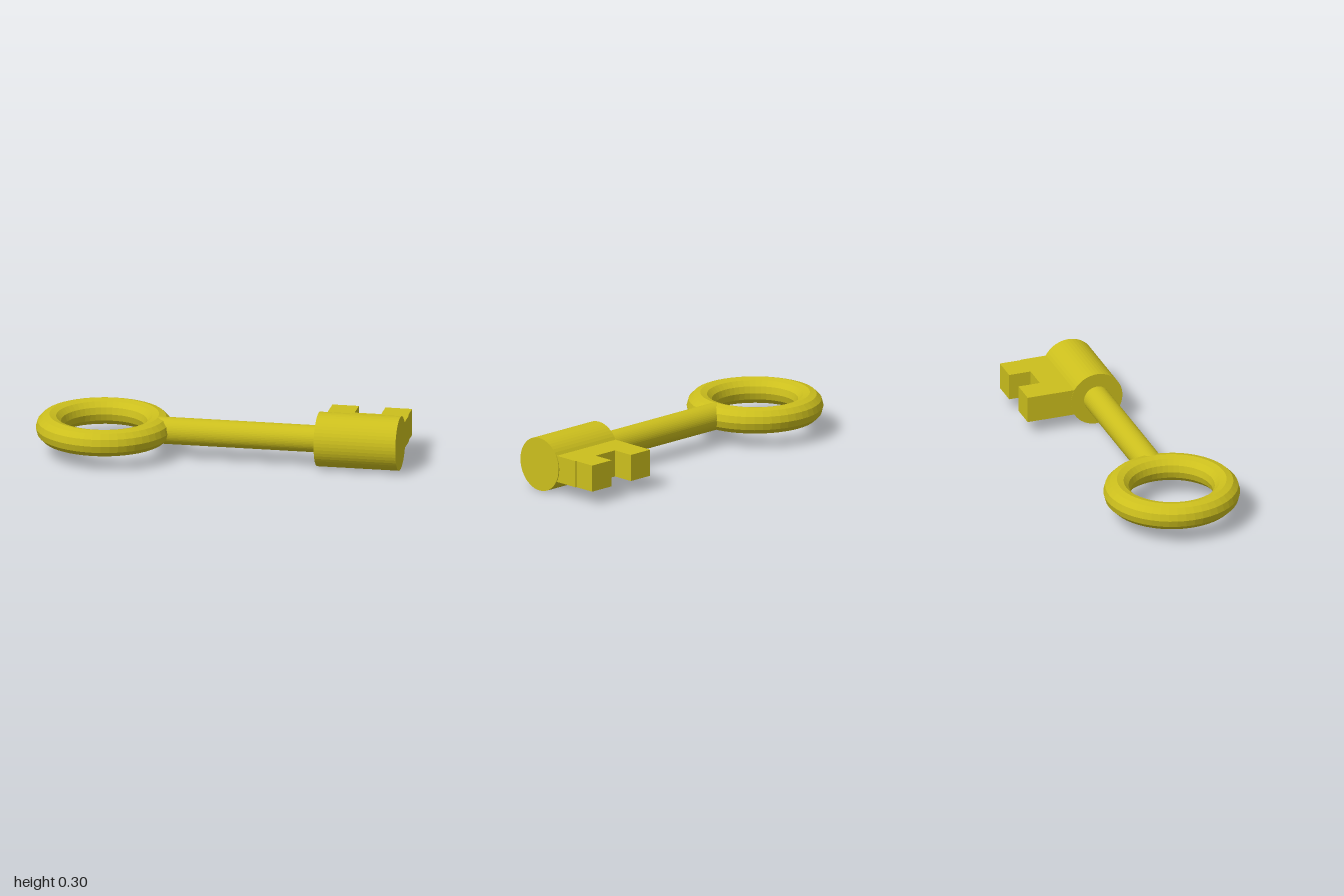
import * as THREE from 'three';

export function createModel() {
  const key = new THREE.Group();
  key.name = 'key';
  const material = new THREE.MeshStandardMaterial({ color: 0xccbf1d, flatShading: true });
  const axisY = 0.15, axisZ = 0.012;

  function add(name, geometry, x, y = axisY, z = axisZ) {
    const mesh = new THREE.Mesh(geometry, material);
    mesh.name = name;
    mesh.position.set(x, y, z);
    key.add(mesh);
  }

  // Round bar along x between two ends
  function addBar(name, radius, x0, x1) {
    const geometry = new THREE.CylinderGeometry(radius, radius, x1 - x0, 48);
    geometry.rotateZ(-Math.PI / 2);
    add(name, geometry, (x0 + x1) / 2);
  }

  // Finger ring lying flat
  const ring = new THREE.TorusGeometry(0.297, 0.0735, 12, 48);
  ring.rotateX(Math.PI / 2);
  add('ringHandle', ring, -0.63);

  // Shaft starts inside the ring, collar caps the far end
  addBar('shaft', 0.0735, -0.333, 0.56);
  addBar('collar', 0.148, 0.55, 1);

  // Bit: a plate reaching back from the collar, with two teeth around a notch
  const outline = [
    [0.551, 0], [0.995, 0], [0.995, 0.262], [0.99, 0.262], [0.99, 0.385],
    [0.843, 0.385], [0.843, 0.262], [0.697, 0.262], [0.697, 0.385], [0.551, 0.385],
  ].map(([x, back]) => new THREE.Vector2(x, back));
  const bit = new THREE.ExtrudeGeometry(new THREE.Shape(outline), { depth: 0.147, bevelEnabled: false });
  bit.rotateX(-Math.PI / 2);
  add('bit', bit, 0, axisY - 0.0735, 0);

  return key;
}
